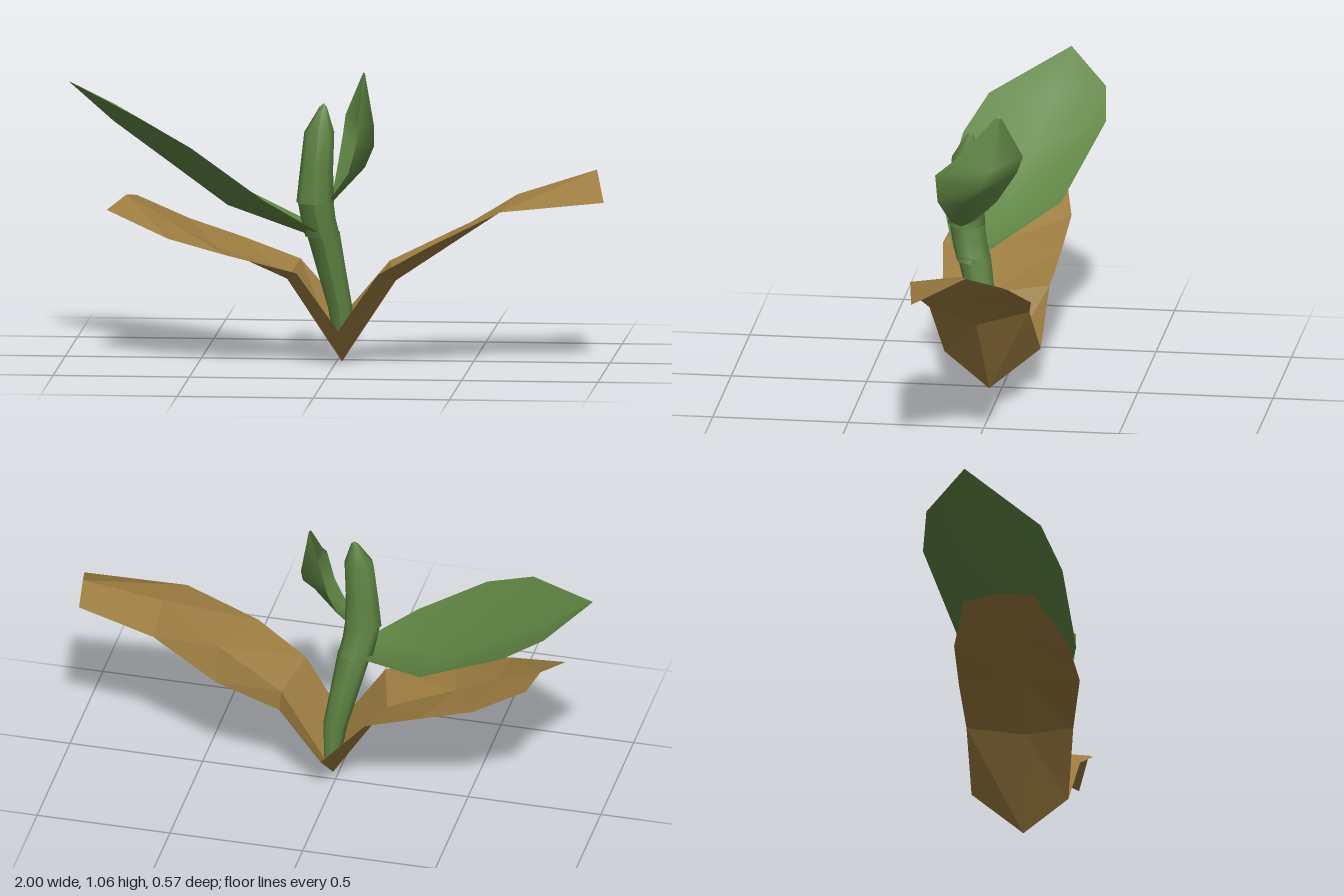
import * as THREE from 'three';

const huskBrown = new THREE.MeshStandardMaterial({ color: 0x9c7c40, side: THREE.DoubleSide, flatShading: true });
huskBrown.name = 'huskBrown';
const leafGreen = new THREE.MeshStandardMaterial({ color: 0x5f8543, side: THREE.DoubleSide });
leafGreen.name = 'leafGreen';

// Folded leaf: each row is [back edge, midrib, front edge]
function leaf(name, rows, material) {
  const pos = rows.flat(2);
  const index = [];
  const w = rows[0].length;
  for (let r = 0; r < rows.length - 1; r++) {
    for (let c = 0; c < w - 1; c++) {
      const a = r * w + c, b = a + 1, d = a + w, e = d + 1;
      index.push(a, d, b, b, d, e);
    }
  }
  const geo = new THREE.BufferGeometry();
  geo.setAttribute('position', new THREE.Float32BufferAttribute(pos, 3));
  geo.setIndex(index);
  geo.computeVertexNormals();
  const mesh = new THREE.Mesh(geo, material);
  mesh.name = name;
  return mesh;
}

// Stem section: a cylinder whose rings follow [x, y, z, radius]
function stemSection(name, rings) {
  const n = rings.length - 1;
  const sides = 8;
  const geo = new THREE.CylinderGeometry(1, 1, n, sides, n, true);
  const p = geo.attributes.position;
  for (let i = 0; i < p.count; i++) {
    const [x, y, z, r] = rings[Math.round(p.getY(i) + n / 2)];
    p.setXYZ(i, x + p.getX(i) * r, y, z + p.getZ(i) * r);
  }
  geo.computeVertexNormals();
  const mesh = new THREE.Mesh(geo, leafGreen);
  mesh.name = name;
  return mesh;
}

export function createModel() {
  const model = new THREE.Group();
  model.name = 'seedling';

  // Dry husk, two halves meeting at the base fold
  const base = [[0.02, 0.16, -0.145], [0.02, 0, 0.045], [0.02, 0.135, 0.21]];
  model.add(leaf('leftHusk', [
    base,
    [[0.18, 0.35, -0.125], [0.22, 0.305, 0.065], [0.17, 0.35, 0.245]],
    [[0.41, 0.46, -0.163], [0.458, 0.465, 0.065], [0.36, 0.46, 0.283]],
    [[0.66, 0.585, -0.11], [0.668, 0.63, -0.07 + 0.14], [0.62, 0.588, 0.255]],
    [[0.935, 0.68, -0.125], [0.953, 0.715, 0.005], [0.995, 0.62, 0.2]],
  ], huskBrown));
  model.add(leaf('rightHusk', [
    base,
    [[-0.15, 0.35, -0.155], [-0.18, 0.305, 0.06], [-0.13, 0.35, 0.235]],
    [[-0.36, 0.425, -0.172], [-0.44, 0.42, 0.055], [-0.39, 0.42, 0.272]],
    [[-0.56, 0.49, -0.18], [-0.61, 0.51, 0.04], [-0.6, 0.472, 0.24]],
    [[-0.75, 0.58, -0.135], [-0.778, 0.597, -0.02], [-0.837, 0.56, 0.125]],
  ], huskBrown));

  // Stem: each sheath starts a little wider than the one below
  model.add(stemSection('lowerStem', [
    [0.025, 0.06, 0.05, 0.03], [0.015, 0.2, 0.06, 0.045],
    [-0.015, 0.34, 0.08, 0.053], [-0.045, 0.49, 0.11, 0.062],
  ]));
  model.add(stemSection('middleStem', [
    [-0.045, 0.47, 0.11, 0.064], [-0.06, 0.54, 0.128, 0.064], [-0.07, 0.615, 0.14, 0.066],
  ]));
  model.add(stemSection('bud', [
    [-0.07, 0.6, 0.14, 0.069], [-0.065, 0.72, 0.142, 0.061],
    [-0.055, 0.86, 0.138, 0.055], [-0.042, 0.95, 0.125, 0.014], [-0.04, 0.963, 0.12, 0.001],
  ]));

  // Large leaf spreading to the right
  const tip = [-1, 1, -0.12];
  model.add(leaf('largeLeaf', [
    [[-0.06, 0.5, 0.06], [-0.1, 0.48, 0.12], [-0.06, 0.5, 0.19]],
    [[-0.36, 0.605, -0.17], [-0.4, 0.572, 0.04], [-0.25, 0.62, 0.252]],
    [[-0.7, 0.81, -0.287], [-0.62, 0.72, -0.02], [-0.52, 0.805, 0.215]],
    [[-0.85, 0.9, -0.267], [-0.83, 0.86, -0.08], [-0.71, 0.9, 0.145]],
    [tip, tip, tip],
  ], leafGreen));

  // Small upright leaf cupped toward the bud
  model.add(leaf('smallLeaf', [
    [[-0.01, 0.63, 0.1], [0, 0.61, 0.15], [-0.01, 0.62, 0.19]],
    [[0, 0.71, 0.02], [0.112, 0.73, 0.13], [0.06, 0.72, 0.23]],
    [[0.015, 0.83, -0.057], [0.14, 0.8, 0.07], [0.09, 0.83, 0.235]],
    [[0.022, 0.895, -0.08], [0.135, 0.87, 0.02], [0.09, 0.89, 0.165]],
    [[0.093, 1.06, -0.01], [0.1, 1.06, 0], [0.095, 1.06, 0.012]],
  ], leafGreen));

  return model;
}
